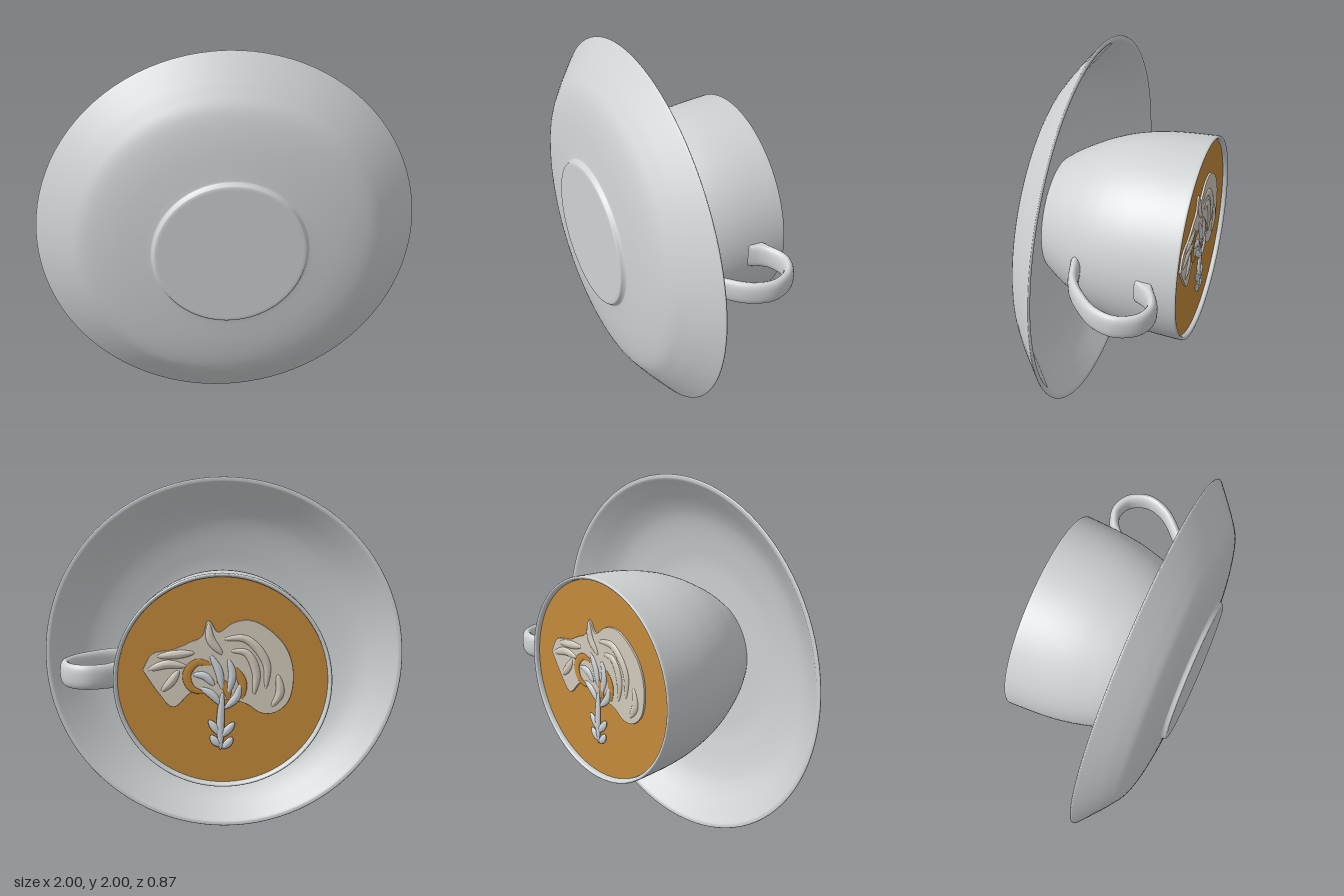
import * as THREE from 'three';

const mat = (name, color, side = THREE.FrontSide) => {
  const m = new THREE.MeshStandardMaterial({ color, side });
  m.name = name;
  return m;
};
const v2 = (pts) => pts.map(([x, y]) => new THREE.Vector2(x, y));

// Smooth turned profile: each run of points becomes a spline, runs meet at edges
function lathe(runs) {
  const pts = runs.flatMap((run) => new THREE.SplineCurve(v2(run)).getPoints(run.length * 4));
  return new THREE.LatheGeometry(pts, 96);
}

// Tube through points whose section varies: size(t) = [in-plane scale, y scale]
function sweep(points, radius, size, steps = 24, sides = 12) {
  const curve = new THREE.CatmullRomCurve3(points.map((p) => new THREE.Vector3(...p)));
  const geo = new THREE.TubeGeometry(curve, steps, radius, sides, false);
  const pos = geo.attributes.position;
  const p = new THREE.Vector3();
  for (let i = 0; i <= steps; i++) {
    const c = curve.getPointAt(i / steps);
    const [a, b] = size(i / steps);
    for (let j = 0; j <= sides; j++) {
      const k = i * (sides + 1) + j;
      p.fromBufferAttribute(pos, k).sub(c);
      pos.setXYZ(k, c.x + p.x * a, c.y + p.y * b, c.z + p.z * a);
    }
  }
  geo.computeVertexNormals();
  return geo;
}

export function createModel() {
  const china = mat('china white', 0xced2d3);
  const coffeeMat = mat('coffee brown', 0xc48a3a, THREE.DoubleSide);
  const cream = mat('cream foam', 0xd3cabc);
  const milk = mat('milk white', 0xcdd3d9);

  // Built upright with y as the cup axis, then tipped so the cup opens to the back
  const set = new THREE.Group();
  set.name = 'cupAndSaucer';
  const add = (name, geo, material) => {
    const mesh = new THREE.Mesh(geo, material);
    mesh.name = name;
    set.add(mesh);
    return mesh;
  };

  // Saucer with a raised foot
  add('saucer', lathe([
    [[0, -0.43], [0.37, -0.43]],
    [[0.375, -0.43], [0.39, -0.427], [0.397, -0.415], [0.405, -0.405]],
    [[0.41, -0.403], [0.6, -0.382], [0.75, -0.347], [0.84, -0.292], [0.92, -0.23], [0.995, -0.168]],
    [[0.998, -0.165], [1, -0.16], [0.995, -0.155], [0.98, -0.156]],
    [[0.975, -0.158], [0.92, -0.2], [0.83, -0.265], [0.74, -0.31], [0.6, -0.345], [0.42, -0.368], [0, -0.372]],
  ]), china);

  // Cup wall and lip
  add('cup', lathe([
    [[0, -0.37], [0.31, -0.37]],
    [[0.315, -0.365], [0.375, -0.28], [0.44, -0.16], [0.475, -0.08], [0.502, 0], [0.53, 0.12], [0.546, 0.25], [0.555, 0.42]],
    [[0.555, 0.43], [0.552, 0.437], [0.545, 0.438], [0.537, 0.432]],
    [[0.535, 0.425], [0.52, 0.3], [0.47, 0], [0.3, -0.3], [0, -0.33]],
  ]), china);

  // Strap handle, flaring where it joins the wall
  add('handle', sweep([
    [0.52, 0.255, 0.005], [0.57, 0.3, 0.005], [0.63, 0.338, 0.005], [0.7, 0.354, 0.005], [0.785, 0.315, 0.005],
    [0.83, 0.21, 0.005], [0.8, 0.1, 0.005], [0.72, 0.005, 0.005], [0.61, -0.078, 0.005], [0.45, -0.125, 0.005],
  ], 0.027, (t) => {
    const flare = 1 + 0.8 * Math.max(0, 1 - t / 0.12) ** 2;
    return [flare, flare];
  }, 72, 24), china);
  // Widen the strap across its flat side and square its section a little
  const strap = set.getObjectByName('handle').geometry;
  const sp = strap.attributes.position;
  for (let i = 0; i < sp.count; i++) {
    const n = THREE.MathUtils.clamp((sp.getZ(i) - 0.005) / 0.027, -1, 1);
    sp.setZ(i, 0.005 + 0.065 * Math.sign(n) * Math.abs(n) ** 0.75);
  }
  strap.computeVertexNormals();

  // Coffee surface
  add('coffee', new THREE.CircleGeometry(0.537, 96).rotateX(-Math.PI / 2).translate(0, 0.412, 0), coffeeMat);

  // Foam patch with a leafy outline
  const outline = new THREE.SplineCurve(v2([
    [0.4, 0.06], [0.35, 0.14], [0.25, 0.16], [0.16, 0.2], [0.1, 0.23], [0.07, 0.31], [0.02, 0.25],
    [-0.06, 0.3], [-0.147, 0.31], [-0.24, 0.26], [-0.32, 0.17], [-0.355, 0.05], [-0.34, -0.08],
    [-0.28, -0.15], [-0.2, -0.16], [-0.12, -0.11], [-0.03, -0.09], [0.05, -0.08], [0.1, -0.04],
    [0.17, -0.06], [0.25, -0.13], [0.32, -0.06], [0.4, 0.06],
  ])).getPoints(110);
  add('foamPatch', new THREE.ExtrudeGeometry(new THREE.Shape(outline), {
    depth: 0.01, bevelThickness: 0.004, bevelSize: 0.004, bevelSegments: 2,
  }).rotateX(Math.PI / 2).translate(0, 0.419, 0), cream);

  // Poured strokes: flat ribbons that taper to both ends
  const stroke = (name, pts, width, height, material, y = 0.422) =>
    add(name, sweep(pts.map(([x, z]) => [x, y, z]), width, (t) => {
      const s = Math.sqrt(Math.max(Math.sin(Math.PI * t), 0)) + 0.02;
      return [s, (s * height) / width];
    }), material);

  // Cream ridges fanning over both sides
  [
    [[0.38, 0.06], [0.28, 0.09], [0.18, 0.08]],
    [[0.33, 0.13], [0.24, 0.14], [0.14, 0.15]],
    [[0.07, 0.3], [0.06, 0.22], [0.0, 0.14]],
    [[0.31, -0.05], [0.26, 0.0], [0.22, 0.06]],
    [[0.0, 0.22], [-0.12, 0.22], [-0.22, 0.1], [-0.22, -0.04]],
    [[-0.04, 0.16], [-0.12, 0.15], [-0.17, 0.05], [-0.16, -0.07]],
    [[-0.28, 0.04], [-0.29, -0.06], [-0.25, -0.13]],
  ].forEach((p) => stroke('foamRidge', p, 0.022, 0.012, cream));

  // Coffee showing between the strokes
  [
    [[0.05, 0.09], [0.13, 0.1], [0.18, 0.04], [0.16, -0.03], [0.09, -0.06]],
    [[-0.06, 0.08], [-0.1, 0.0], [-0.1, -0.09]],
    [[0.03, 0.02], [-0.02, -0.03], [-0.03, -0.09]],
  ].forEach((p) => stroke('coffeeGap', p, 0.022, 0.004, coffeeMat, 0.424));

  // White petals in the centre and the leaf stem below
  [
    [[0.15, 0.04], [0.09, 0.03], [0.04, -0.02]],
    [[0.06, 0.14], [0.02, 0.06], [0.0, -0.04]],
    [[-0.03, 0.12], [-0.05, 0.04], [-0.03, -0.06]],
    [[0.11, -0.03], [0.05, -0.07], [0.01, -0.12]],
    [[-0.09, -0.01], [-0.07, -0.08], [-0.01, -0.14]],
    [[0.0, -0.05], [0.01, -0.2], [0.01, -0.36]],
    [[0.07, -0.2], [0.04, -0.24], [0.01, -0.28]],
    [[-0.06, -0.21], [-0.03, -0.25], [0.01, -0.29]],
    [[0.06, -0.28], [0.04, -0.31], [0.01, -0.34]],
    [[-0.05, -0.29], [-0.03, -0.32], [0.0, -0.35]],
  ].forEach((p) => stroke('milkPetal', p, 0.02, 0.01, milk, 0.424));

  set.rotation.x = -Math.PI / 2;
  set.position.y = 1;
  const model = new THREE.Group();
  model.name = 'coffeeCup';
  model.add(set);
  return model;
}
